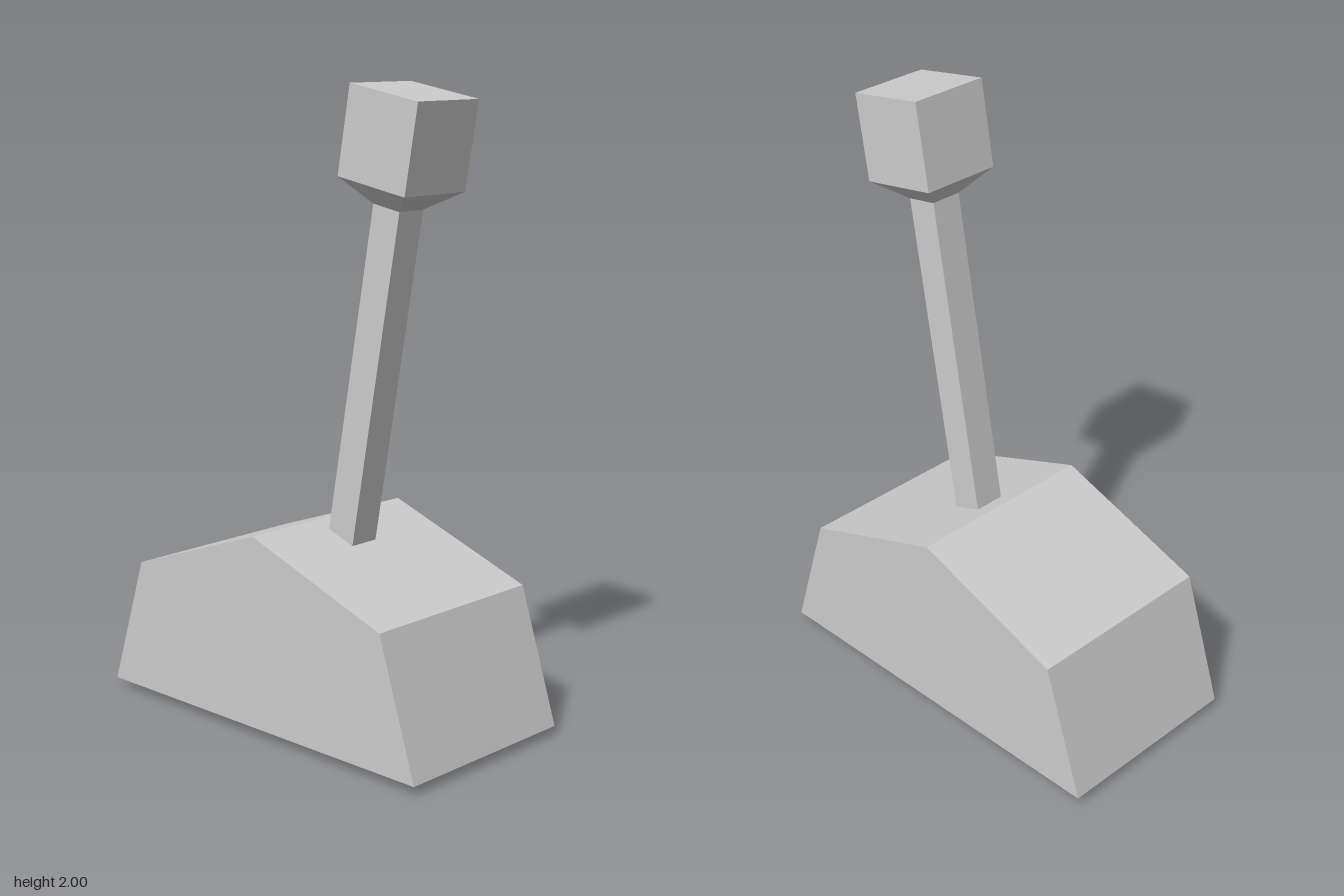
import * as THREE from 'three';

export function createModel() {
  const model = new THREE.Group();
  const grey = new THREE.MeshStandardMaterial({ color: 0xcccccc, side: THREE.DoubleSide, flatShading: true });
  grey.name = 'light grey';

  const add = (parent, name, geometry) => {
    const mesh = new THREE.Mesh(geometry, grey);
    mesh.name = name;
    parent.add(mesh);
    return mesh;
  };

  // Base: a hollow housing, open underneath
  const base = new THREE.Group();
  base.name = 'base';
  model.add(base);
  const halfDepth = 0.33;
  const profile = [[0.66, 0.03], [0.523, 0.457], [0, 0.643], [-0.523, 0.457], [-0.66, 0.03]];

  // Front and back walls
  const wall = new THREE.ShapeGeometry(new THREE.Shape(profile.map(([x, y]) => new THREE.Vector2(x, y))));
  add(base, 'frontWall', wall).position.z = halfDepth;
  const back = add(base, 'backWall', wall);
  back.position.z = -halfDepth;
  back.rotation.y = Math.PI;

  // Sides and sloping roof, one strip per profile edge
  const verts = [];
  const index = [];
  profile.forEach(([x, y], i) => {
    verts.push(x, y, halfDepth, x, y, -halfDepth);
    if (i < profile.length - 1) {
      const a = i * 2;
      index.push(a, a + 1, a + 3, a, a + 3, a + 2);
    }
  });
  let shell = new THREE.BufferGeometry();
  shell.setAttribute('position', new THREE.Float32BufferAttribute(verts, 3));
  shell.setIndex(index);
  shell = shell.toNonIndexed();
  shell.computeVertexNormals();
  add(base, 'sidesAndRoof', shell);

  // Lever: leans towards +x, passing through the base
  const lever = new THREE.Group();
  lever.name = 'lever';
  lever.position.y = 0.009;
  lever.rotation.z = -THREE.MathUtils.degToRad(10);
  model.add(lever);

  const shaftWidth = 0.105;
  const shaftLength = 1.656;
  add(lever, 'shaft', new THREE.BoxGeometry(shaftWidth, shaftLength, shaftWidth)).position.y = shaftLength / 2;

  // Square knob with a tapered neck
  const knobWidth = 0.267;
  const corner = (width) => width / Math.SQRT2;
  const knobProfile = [
    [corner(shaftWidth), shaftLength],
    [corner(knobWidth), 1.724],
    [corner(knobWidth), 1.999],
    [0, 1.999],
  ].map(([r, y]) => new THREE.Vector2(r, y));
  const knob = new THREE.LatheGeometry(knobProfile, 4, Math.PI / 4).toNonIndexed();
  knob.computeVertexNormals();
  add(lever, 'knob', knob);

  return model;
}
